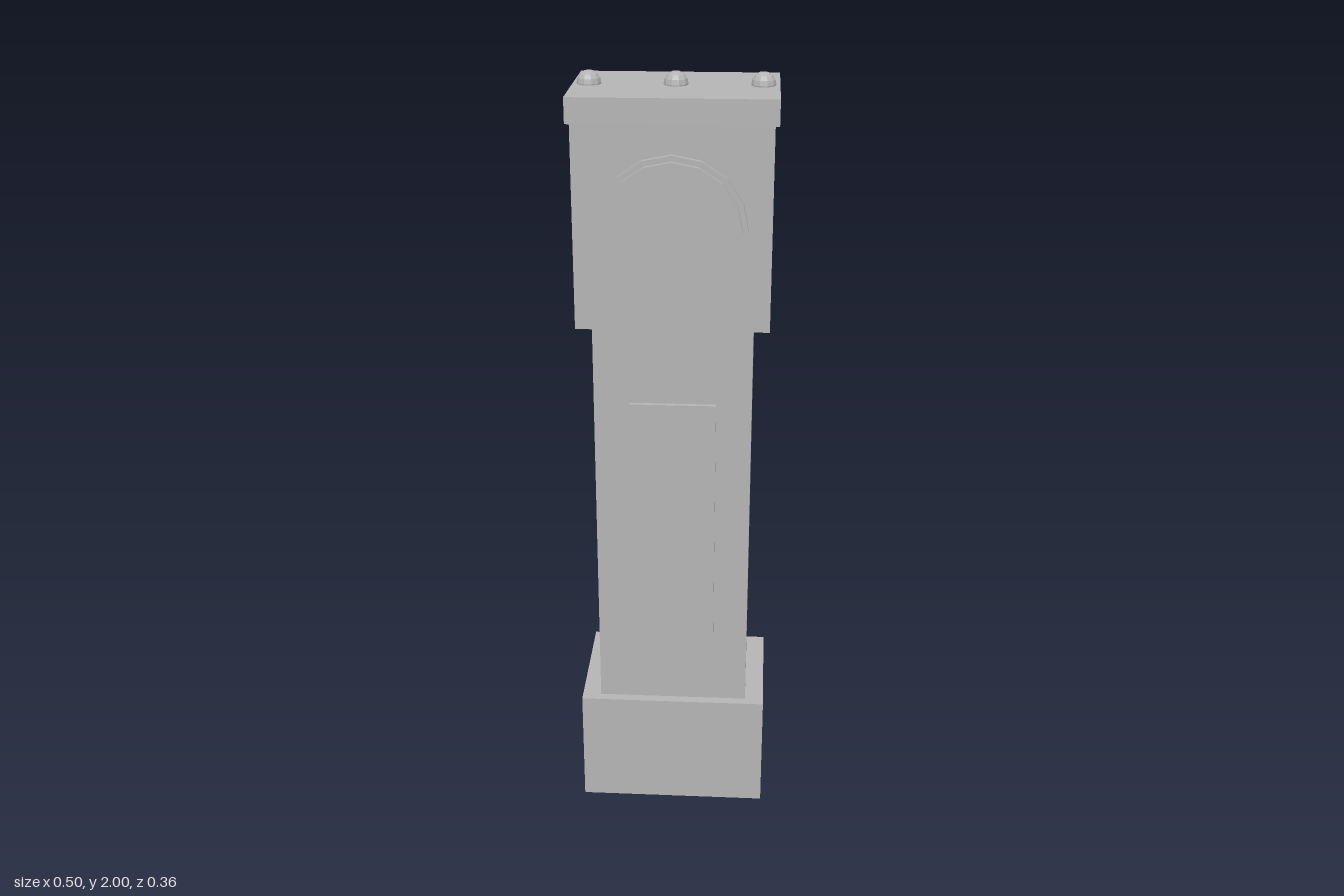
import * as THREE from 'three';

export function createModel() {
  const clock = new THREE.Group();
  clock.name = 'longcaseClock';
  const grey = new THREE.MeshStandardMaterial({ color: 0xb4b4b4 });
  grey.name = 'plain grey';
  grey.flatShading = true;
  const zMid = -0.008; // the case sits slightly behind the dial

  const add = (name, geometry, x, y, z) => {
    const mesh = new THREE.Mesh(geometry, grey);
    mesh.name = name;
    mesh.position.set(x, y, z);
    clock.add(mesh);
  };
  // Box given by its bottom and top heights
  const box = (name, w, y0, y1, d, z = zMid) =>
    add(name, new THREE.BoxGeometry(w, y1 - y0, d), 0, (y0 + y1) / 2, z);
  // Disc facing the front, given by its back and front depths
  const disc = (name, r, y, z0, z1) =>
    add(name, new THREE.CylinderGeometry(r, r, z1 - z0, 16).rotateX(Math.PI / 2), 0, y, (z0 + z1) / 2);

  // Case
  box('base', 0.5, 0, 0.32, 0.35);
  box('trunk', 0.4, 0.32, 1.4, 0.3);
  box('hood', 0.48, 1.4, 1.905, 0.33);
  box('cornice', 0.5, 1.905, 1.967, 0.35);

  // Trunk door with the pendulum bob almost flush in it
  box('door', 0.22, 0.5, 1.2, 0.02, 0.143);
  disc('pendulumBob', 0.055, 0.625, 0.14, 0.1535);

  // Dial and its bezel
  disc('bezel', 0.184, 1.652, 0.15, 0.17);
  disc('dial', 0.17, 1.652, 0.16, 0.181);

  // Finials half sunk in the cornice
  for (const x of [-0.21, 0, 0.21])
    add('finial', new THREE.SphereGeometry(0.03, 10, 8), x, 1.97, zMid);

  return clock;
}
